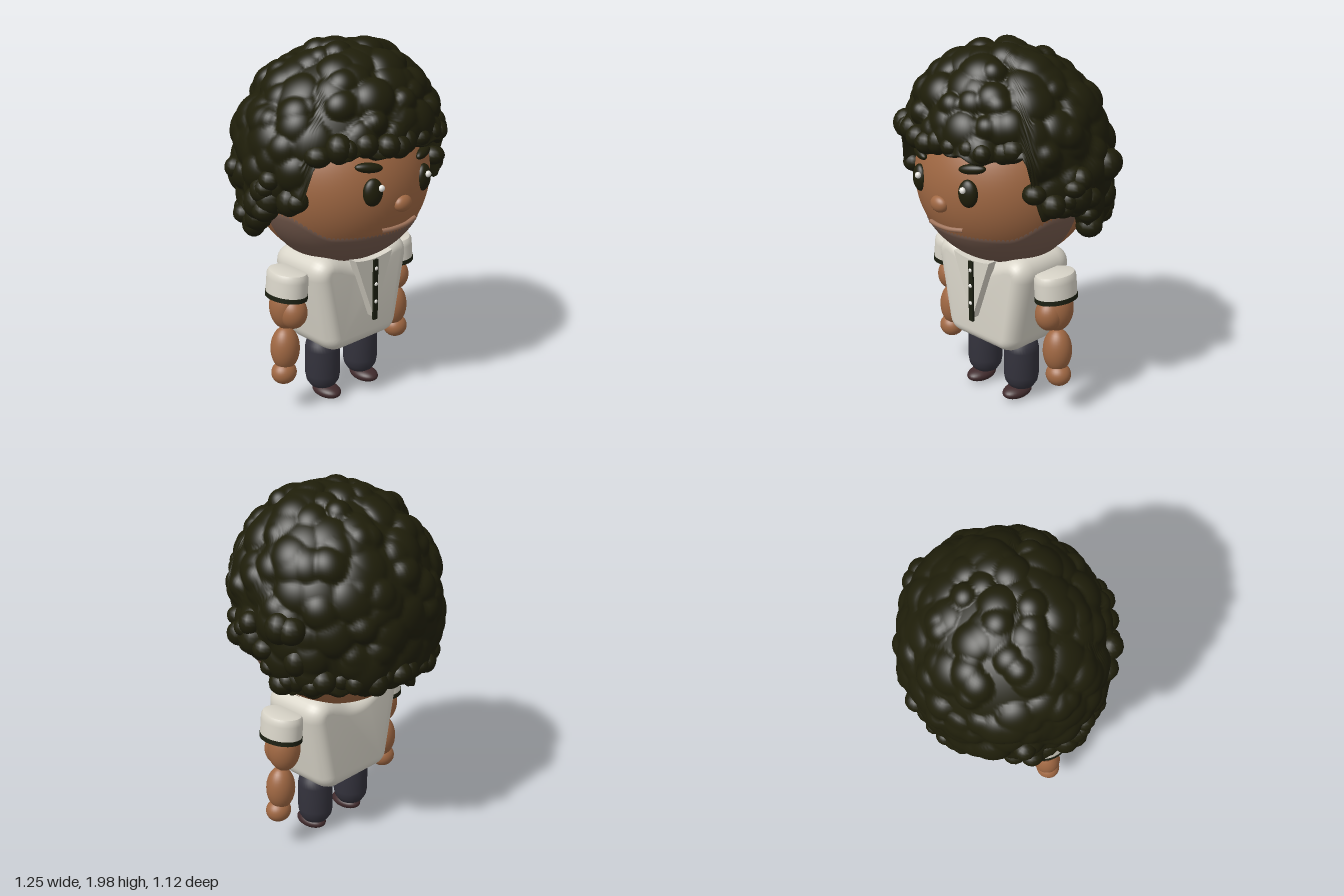
import * as THREE from 'three';
import { mergeGeometries, toCreasedNormals } from 'three/addons/utils/BufferGeometryUtils.js';

const mat = (name, color) => Object.assign(new THREE.MeshStandardMaterial({ color }), { name });

export function createModel() {
  const model = new THREE.Group();
  model.name = 'figure';
  const skin = mat('skin', 0xa06843), stubble = mat('stubble', 0x755a4d), hairMat = mat('hair', 0x1f1e0a);
  const cloth = mat('shirt', 0xd8d4c8), trim = mat('trim', 0x1c2012), denim = mat('trousers', 0x33323c);
  const leather = mat('shoes', 0x412b2d), white = mat('highlight', 0xe8e6e0), lipMat = mat('lips', 0x9f735a);

  const add = (name, geo, material, x = 0, y = 0, z = 0, parent = model) => {
    const m = new THREE.Mesh(geo, material);
    m.name = name;
    m.position.set(x, y, z);
    parent.add(m);
    return m;
  };
  const ball = (name, material, p, r) => {
    const m = add(name, new THREE.SphereGeometry(1, 32, 20), material, ...p);
    m.scale.set(...r);
    return m;
  };
  const lathe = (pts) => new THREE.LatheGeometry(pts.map(([x, y]) => new THREE.Vector2(x, y)), 36);
  let seed = 11;
  const rand = () => (seed = (seed * 16807) % 2147483647) / 2147483647;
  const step = THREE.MathUtils.smoothstep;

  // Head
  const HY = 1.275, HZ = 0.008, HR = 0.48;
  add('head', new THREE.SphereGeometry(HR, 64, 48), skin, 0, HY, HZ);

  // Stubble: thin shell over the jaw, rising towards the ears, its top edge sunk into the head
  const jaw = new THREE.SphereGeometry(1, 64, 30);
  const jp = jaw.attributes.position, juv = jaw.attributes.uv;
  for (let i = 0; i < jp.count; i++) {
    const a = (juv.getX(i) - 0.5) * (Math.PI + 0.16);
    const top = Math.acos((1.055 + 0.11 * step(Math.abs(a), 0.8, 1.35) - HY) / HR);
    const t = THREE.MathUtils.lerp(top, Math.PI, 1 - juv.getY(i));
    const r = HR * (juv.getY(i) > 0.99 ? 0.99 : 1.01), s = Math.sin(t) * r;
    jp.setXYZ(i, Math.sin(a) * s, Math.cos(t) * r, Math.cos(a) * s);
  }
  jaw.computeVertexNormals();
  add('stubble', jaw, stubble, 0, HY, HZ);

  // Face
  for (const s of [-1, 1]) {
    ball('eye', hairMat, [s * 0.178, 1.3, 0.45], [0.053, 0.072, 0.035]).rotation.y = s * 0.3;
    ball('eyeHighlight', white, [s * 0.165 + 0.011, 1.325, 0.486], [0.017, 0.017, 0.015]);
    const brow = ball('eyebrow', hairMat, [s * 0.19, 1.425, 0.432], [0.073, 0.026, 0.028]);
    brow.rotation.set(0, s * 0.4, s * 0.12);
    ball('ear', skin, [s * 0.475, 1.22, 0.05], [0.04, 0.065, 0.05]);
  }
  ball('nose', skin, [0, 1.21, 0.482], [0.055, 0.044, 0.036]);
  const lip = new THREE.CatmullRomCurve3([[-0.11, 1.078, 0.445], [-0.04, 1.077, 0.458], [0.05, 1.08, 0.458], [0.13, 1.09, 0.442]]
    .map((p) => new THREE.Vector3(...p)));
  add('mouth', new THREE.TubeGeometry(lip, 20, 0.012, 8), lipMat);

  // Hair: lumpy cap, leaning forward at the top, whose hem follows fringe, temples and nape
  const CY = 1.4, RV = 0.55;
  const curls = [];
  const N = 280;
  for (let i = 0; i < N; i++) {
    const y = 1 - (2 * i + 1) / N, a = i * 2.39996 + rand() * 0.9, r = Math.sqrt(1 - y * y);
    const dir = new THREE.Vector3(Math.sin(a) * r, y + (rand() - 0.5) * 0.2, Math.cos(a) * r).normalize();
    curls.push({ dir, r: 0.12 + rand() * 0.1, h: 0.04 + rand() * 0.06 });
  }
  const lump = (d) => {
    let b = 0;
    for (const c of curls) {
      const q = c.dir.distanceTo(d) / c.r;
      if (q < 1) b = Math.max(b, c.h * Math.pow(1 - q * q, 0.7));
    }
    return b;
  };
  const hem = (a) => {
    const k = Math.abs(a);
    return 1.49 - 0.28 * step(k, 0.88, 1.04) - 0.03 * step(k, 1.15, 1.4) - 0.13 * step(k, 1.5, 1.72)
      + 0.01 * Math.sin(9 * a) + 0.01 * Math.sin(23 * a);
  };
  const hairPoint = (a, s) => {
    const over = Math.max(0, s - Math.PI / 2);
    const y = over ? -RV * over : RV * Math.cos(s);
    const r = over ? 1 - 0.28 * over * over : Math.sin(s);
    const p = new THREE.Vector3(Math.sin(a) * r * 0.555, y, Math.cos(a) * r * 0.515);
    p.multiplyScalar(0.99 + lump(p.clone().normalize()));
    p.z += 0.08 * p.y;
    return p;
  };
  const hemAngle = (a) => {
    const k = (hem(a) - CY) / RV;
    return k > 0 ? Math.acos(k) : Math.PI / 2 - k;
  };
  const COLS = 220, ROWS = 100, pos = [], idx = [];
  const tuck = [[0.98, 0.94], [0.95, 0.86], [0.85, 0.74]];
  for (let i = 0; i < ROWS + tuck.length; i++) {
    for (let j = 0; j < COLS; j++) {
      const a = (j / COLS) * 2 * Math.PI - Math.PI;
      const p = hairPoint(a, hemAngle(a) * Math.min(1, i / (ROWS - 1)));
      const [kx, kz] = i < ROWS ? [1, 1] : tuck[i - ROWS];
      pos.push(p.x * kx, p.y + CY - (i === ROWS ? 0.012 : 0), p.z * kz);
      if (i) {
        const n = (j + 1) % COLS, u = (i - 1) * COLS, d = i * COLS;
        idx.push(u + j, d + j, d + n, u + j, d + n, u + n);
      }
    }
  }
  const cap = new THREE.BufferGeometry();
  cap.setAttribute('position', new THREE.Float32BufferAttribute(pos, 3));
  cap.setIndex(idx);
  cap.computeVertexNormals();
  add('hair', cap, hairMat);

  // Loose curls sunk into the hem and sides
  const loose = [];
  const curlAt = (a, s, r, inset) => {
    const p = hairPoint(a, s).multiplyScalar(inset);
    const g = new THREE.SphereGeometry(r, 14, 10);
    g.scale(1, 0.8 + rand() * 0.4, 1);
    loose.push(g.translate(p.x, p.y + CY, p.z));
  };
  for (let i = 0; i < 40; i++) {
    const a = (i / 40) * 2 * Math.PI - Math.PI + rand() * 0.1;
    curlAt(a, hemAngle(a) - 0.09, 0.045 + rand() * 0.025, 0.95);
  }
  for (let i = 0; i < 20; i++) {
    const a = (i % 2 ? 1 : -1) * (1.3 + rand() * 0.7);
    curlAt(a, Math.PI / 2 + rand() * (hemAngle(a) - Math.PI / 2), 0.055 + rand() * 0.02, 0.96);
  }
  add('looseCurls', mergeGeometries(loose), hairMat);

  // Shirt body: tapered outline with a dipped neckline, rounded by its bevel
  const o = new THREE.Shape();
  o.moveTo(-0.16, 0.4).lineTo(0.16, 0.4).quadraticCurveTo(0.186, 0.4, 0.19, 0.43);
  o.lineTo(0.258, 0.78).quadraticCurveTo(0.264, 0.82, 0.23, 0.818);
  o.bezierCurveTo(0.14, 0.79, 0.1, 0.74, 0, 0.74).bezierCurveTo(-0.1, 0.74, -0.14, 0.79, -0.23, 0.818);
  o.quadraticCurveTo(-0.264, 0.82, -0.258, 0.78).lineTo(-0.19, 0.43).quadraticCurveTo(-0.186, 0.4, -0.16, 0.4);
  const torso = new THREE.ExtrudeGeometry(o, {
    depth: 0.2, bevelThickness: 0.1, bevelSize: 0.07, bevelSegments: 8, curveSegments: 10,
  });
  add('shirtBody', toCreasedNormals(torso, 0.7), cloth, 0, 0, -0.07);

  // Collar panel with a dipped top, placket and buttons
  const v = new THREE.Shape();
  v.moveTo(-0.125, 0.862).lineTo(0.01, 0.505).lineTo(0.14, 0.862).quadraticCurveTo(0.01, 0.828, -0.125, 0.862);
  add('collarPanel', new THREE.ExtrudeGeometry(v, { depth: 0.055, bevelEnabled: false }), cloth, 0, 0, 0.222);
  add('placket', new THREE.BoxGeometry(0.03, 0.345, 0.012), trim, 0.012, 0.667, 0.282);
  for (const y of [0.6, 0.7, 0.79]) ball('button', white, [0.012, y, 0.288], [0.011, 0.011, 0.008]);

  // Arms, sleeves, legs and shoes
  const sleeveGeo = lathe([[0, -0.065], [0.1, -0.065], [0.1, 0.03], [0.099, 0.055], [0.092, 0.07], [0.08, 0.075], [0, 0.075]]);
  const legGeo = lathe([[0, 0.05], [0.04, 0.053], [0.07, 0.068], [0.09, 0.1], [0.097, 0.14],
    [0.097, 0.29], [0.09, 0.325], [0.07, 0.35], [0.04, 0.362], [0, 0.365]]);
  for (const s of [-1, 1]) {
    const sleeve = new THREE.Group();
    sleeve.name = 'sleeve';
    sleeve.position.set(s * 0.386, 0.742, 0.032);
    sleeve.rotation.z = s * 0.1;
    sleeve.scale.z = 1.23;
    add('sleeveCloth', toCreasedNormals(sleeveGeo, 0.7), cloth, 0, 0, 0, sleeve);
    add('sleeveTrim', new THREE.CylinderGeometry(0.102, 0.102, 0.025, 36), trim, 0, -0.061, 0, sleeve);
    model.add(sleeve);
    ball('upperArm', skin, [s * 0.386, 0.61, 0.018], [0.088, 0.13, 0.088]);
    ball('elbowCrook', skin, [s * 0.378, 0.585, 0.066], [0.075, 0.09, 0.08]);
    ball('forearm', skin, [s * 0.405, 0.372, 0.03], [0.08, 0.124, 0.076]);
    ball('hand', skin, [s * 0.42, 0.235, 0.035], [0.07, 0.063, 0.066]);
    add('trouserLeg', legGeo, denim, s * 0.142, 0, 0.032);
    ball('shoe', leather, [s * 0.142, 0.038, 0.065], [0.064, 0.038, 0.096]);
  }
  return model;
}
